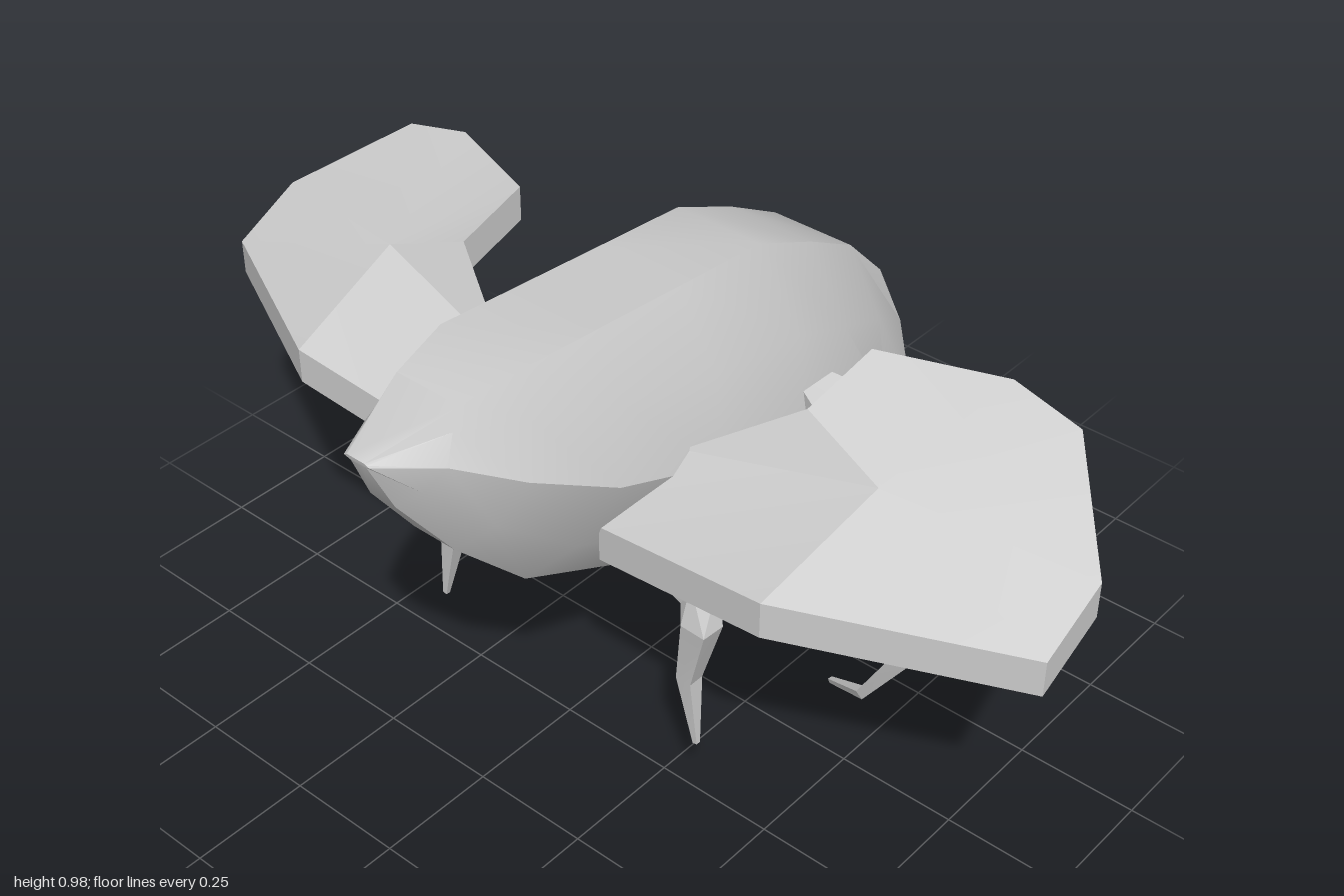
import * as THREE from 'three';
import { toCreasedNormals } from 'three/addons/utils/BufferGeometryUtils.js';

const V = (x, y, z) => new THREE.Vector3(x, y, z);
const grey = new THREE.MeshStandardMaterial({ color: 0xcccccc });

// Skins a list of equal-length rings and closes both ends with a fan around a centre.
function loft(rings, crease, capCentres = []) {
  const n = rings[0].length;
  let tris = [];
  for (let i = 0; i + 1 < rings.length; i++) {
    for (let j = 0; j < n; j++) {
      const k = (j + 1) % n, a = rings[i], b = rings[i + 1];
      tris.push([a[j], b[j], b[k]], [a[j], b[k], a[k]]);
    }
  }
  const ends = [rings[0], rings[rings.length - 1]];
  ends.forEach((ring, e) => {
    const c = capCentres[e] || ring.reduce((s, p) => s.add(p), V(0, 0, 0)).divideScalar(n);
    for (let j = 0; j < n; j++) {
      const k = (j + 1) % n;
      tris.push(e ? [c, ring[k], ring[j]] : [c, ring[j], ring[k]]);
    }
  });
  // Turn the faces outward when the enclosed volume is negative
  const volume = tris.reduce((s, [a, b, c]) => s + a.dot(b.clone().cross(c)), 0);
  if (volume < 0) tris = tris.map(([a, b, c]) => [a, c, b]);
  const geo = new THREE.BufferGeometry().setFromPoints(tris.flat());
  return toCreasedNormals(geo, crease);
}

function add(group, name, geo) {
  const mesh = new THREE.Mesh(geo, grey);
  mesh.name = name;
  group.add(mesh);
}

// Plate with a bent outline and a constant thickness downward
function plate(outline, centre, thickness, side) {
  const top = outline.map(([x, y, z]) => V(x, y, z * side));
  const c = V(centre[0], centre[1], centre[2] * side);
  const down = (p) => V(p.x, p.y - thickness, p.z);
  return loft([top, top.map(down)], 0.2, [c, down(c)]);
}

// Jointed leg: square rings along [x, y, z, width] points
function leg(points, side) {
  const p = points.map(([x, y, z]) => V(x, y, z * side));
  const rings = p.map((c, i) => {
    const dir = p[Math.min(i + 1, p.length - 1)].clone().sub(p[Math.max(i - 1, 0)]).normalize();
    const across = V(1, 0, 0).addScaledVector(dir, -dir.x).normalize();
    const deep = dir.clone().cross(across);
    const h = points[i][3] / 2;
    return [[1, 1], [-1, 1], [-1, -1], [1, -1]].map(([u, v]) =>
      c.clone().addScaledVector(across, u * h).addScaledVector(deep, v * h));
  });
  return loft(rings, 0.2);
}

// Body sections: top x, y; bottom x, y; half width; top strip and keel half widths; forward bulge
const sections = [
  [-0.74, 0.915, -0.738, 0.905, 0.03, 0.02, 0.015, 0],
  [-0.57, 0.965, -0.69, 0.80, 0.10, 0.075, 0.03, 0],
  [-0.44, 0.985, -0.58, 0.65, 0.17, 0.10, 0.05, 0],
  [-0.25, 0.97, -0.43, 0.50, 0.225, 0.10, 0.07, 0],
  [-0.04, 0.953, -0.15, 0.37, 0.257, 0.10, 0.08, 0],
  [0.19, 0.935, 0.13, 0.25, 0.262, 0.10, 0.08, 0],
  [0.35, 0.865, 0.30, 0.20, 0.245, 0.10, 0.07, 0],
  [0.49, 0.79, 0.43, 0.16, 0.215, 0.095, 0.06, 0.02],
  [0.60, 0.68, 0.56, 0.12, 0.16, 0.095, 0.05, 0.065],
  [0.67, 0.55, 0.74, 0.23, 0.06, 0.085, 0.02, 0],
];

function bodyRing([tx, ty, bx, by, w, t, k, bulge]) {
  const half = [[0, t], [0.22, Math.max(t * 0.92, w * 0.82)], [0.5, w],
    [0.78, w * 0.74], [1, k]];
  const at = ([f, z], s) =>
    V(tx + (bx - tx) * f + bulge * Math.sin(Math.PI * f), ty + (by - ty) * f, z * s);
  return [...half.map((h) => at(h, 1)), ...half.reverse().map((h) => at(h, -1))];
}

const wingOutline = [
  [-0.35, 0.63, 0.18], [-0.38, 0.69, 0.57], [-0.16, 0.66, 0.995], [-0.01, 0.735, 0.995],
  [0.18, 0.86, 0.82], [0.19, 0.89, 0.67], [0.10, 0.893, 0.43], [-0.07, 0.85, 0.42],
  [-0.17, 0.72, 0.22],
];
const hindOutline = [
  [0.16, 0.68, 0.24], [0.05, 0.48, 0.62], [0.44, 0.53, 0.55], [0.235, 0.69, 0.25],
];
const legs = {
  rearLeg: [[-0.20, 0.49, 0.20, 0.06], [-0.235, 0.485, 0.32, 0.06], [-0.258, 0.43, 0.345, 0.055],
    [-0.25, 0.28, 0.31, 0.035], [-0.256, 0.13, 0.335, 0.01]],
  middleLeg: [[0.09, 0.46, 0.575, 0.05], [0.09, 0.29, 0.59, 0.04], [0.107, 0.08, 0.46, 0.02],
    [0.16, 0.008, 0.345, 0.01]],
  frontLeg: [[0.395, 0.49, 0.53, 0.05], [0.39, 0.29, 0.55, 0.04], [0.37, 0.10, 0.44, 0.02],
    [0.31, 0.03, 0.33, 0.01]],
};

export function createModel() {
  const model = new THREE.Group();
  model.name = 'wingedInsect';
  add(model, 'body', loft(sections.map(bodyRing), 0.5));

  // Mirrored wings and legs
  for (const side of [1, -1]) {
    const half = new THREE.Group();
    half.name = side > 0 ? 'frontSideLimbs' : 'backSideLimbs';
    add(half, 'largeWing', plate(wingOutline, [-0.1, 0.785, 0.6], 0.075, side));
    add(half, 'smallWing', plate(hindOutline, [0.225, 0.59, 0.41], 0.05, side));
    for (const [name, points] of Object.entries(legs)) add(half, name, leg(points, side));
    model.add(half);
  }
  return model;
}
